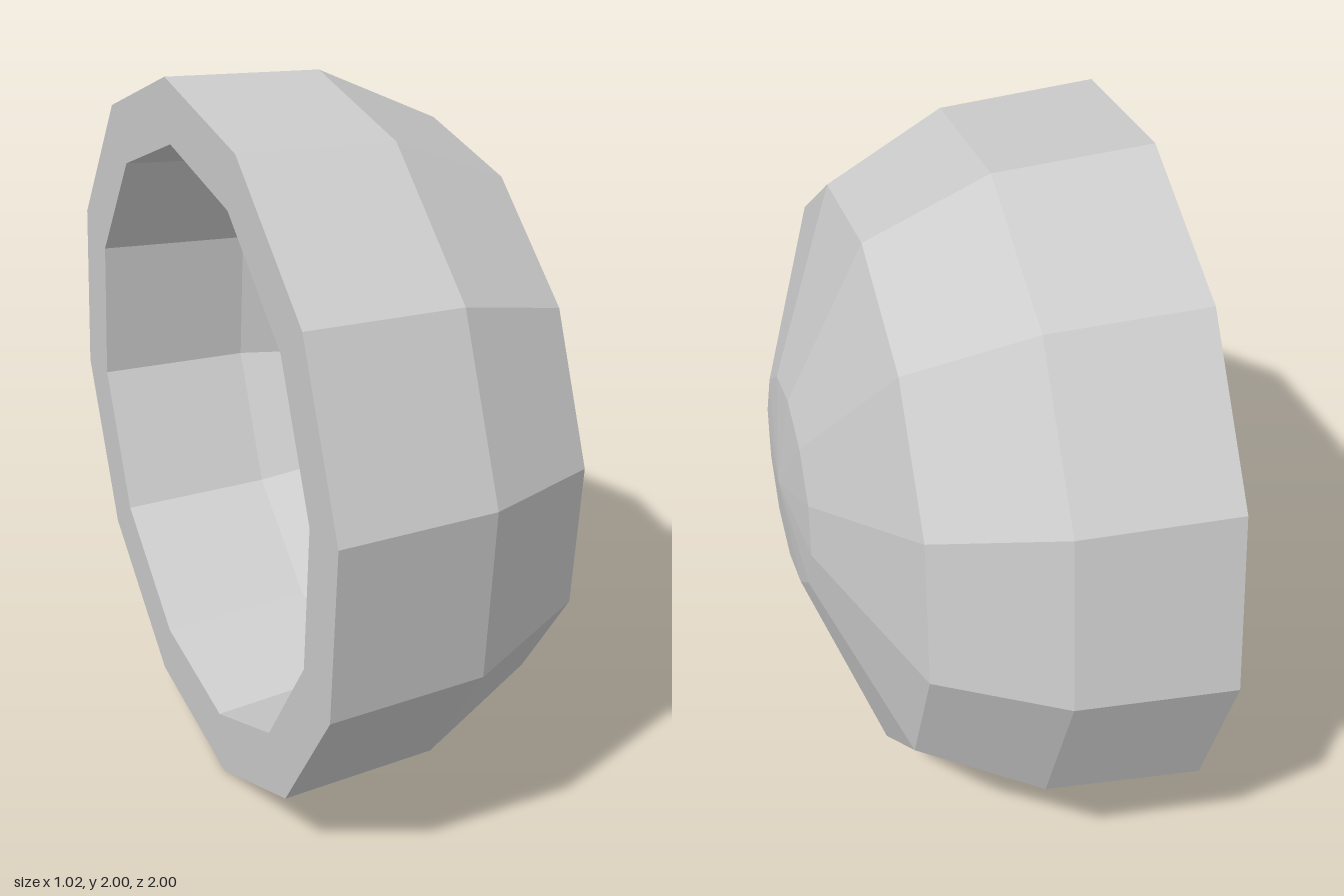
import * as THREE from 'three';

export function createModel() {
  const group = new THREE.Group();
  const material = new THREE.MeshStandardMaterial({ color: 0xcccccc, flatShading: true });

  // Thick shell profile as [radius, position along the axis]
  const profile = [
    // hollow, from its floor out to the rim
    [0, 0.4], [0.24, 0.375], [0.64, 0.215], [0.79, -0.07], [0.83, -0.5],
    // outside, from the flat rim to the tip
    [1.01, -0.5], [0.98, -0.06], [0.81, 0.276], [0.3, 0.475], [0, 0.505],
  ].map(([r, h]) => new THREE.Vector2(r, h));

  // Twelve-sided bowl lying on its side, opening towards -x
  const geometry = new THREE.LatheGeometry(profile, 12, THREE.MathUtils.degToRad(22.5));
  geometry.rotateZ(-Math.PI / 2);

  const bowl = new THREE.Mesh(geometry, material);
  bowl.name = 'domeShell';
  // Slight lean of the axis
  bowl.rotation.set(0, 0.008, 0.008);
  bowl.position.set(0, 1.003, -0.003);
  group.add(bowl);

  return group;
}
